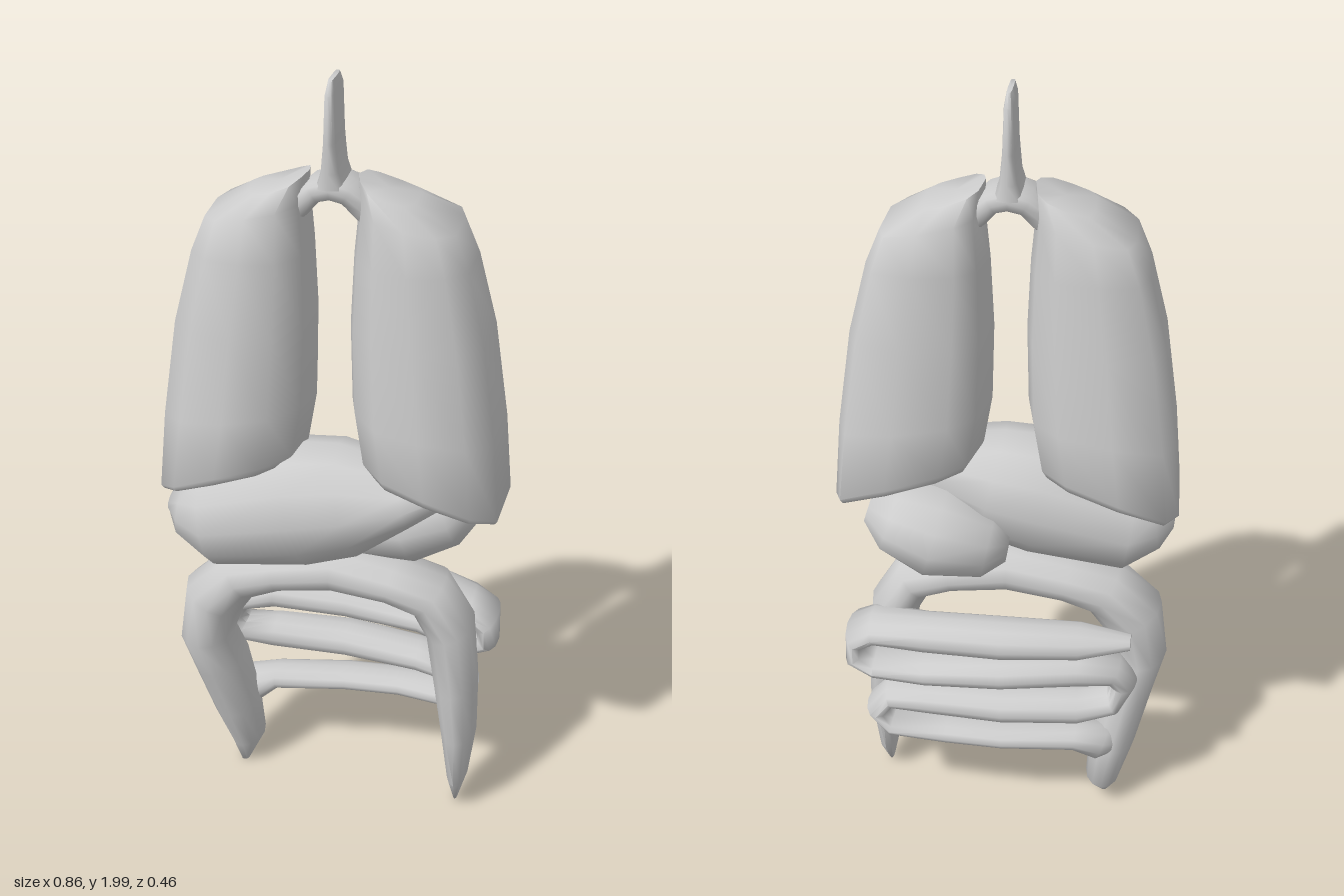
import * as THREE from 'three';
import { toCreasedNormals } from 'three/addons/utils/BufferGeometryUtils.js';

const CREASE = 1.2;

// Skin a list of equal-length rings (arrays of Vector3) and close both ends.
function loft(rings) {
  const n = rings[0].length;
  const pos = [];
  const idx = [];
  rings.forEach(r => r.forEach(p => pos.push(p.x, p.y, p.z)));
  for (let i = 0; i < rings.length - 1; i++) {
    for (let j = 0; j < n; j++) {
      const a = i * n + j, b = i * n + (j + 1) % n;
      idx.push(a, b, a + n, b, b + n, a + n);
    }
  }
  const cap = (ring, start, flip) => {
    const c = ring.reduce((s, p) => s.add(p), new THREE.Vector3()).divideScalar(n);
    const k = pos.length / 3;
    pos.push(c.x, c.y, c.z);
    for (let j = 0; j < n; j++) {
      const a = start + j, b = start + (j + 1) % n;
      if (flip) idx.push(k, b, a); else idx.push(k, a, b);
    }
  };
  cap(rings[0], 0, true);
  cap(rings[rings.length - 1], (rings.length - 1) * n, false);
  const g = new THREE.BufferGeometry();
  g.setAttribute('position', new THREE.Float32BufferAttribute(pos, 3));
  g.setIndex(idx);
  return toCreasedNormals(g, CREASE);
}

// Tube of [x, y, z, radius in the xy plane, radius in z] stations; a power below 1 squares the section.
function tube(stations, power = 1, sides = 12) {
  const bend = v => Math.sign(v) * Math.abs(v) ** power;
  return loft(stations.map(([x, y, z, rn, rz], i) => {
    const p = stations[Math.max(i - 1, 0)];
    const q = stations[Math.min(i + 1, stations.length - 1)];
    const t = new THREE.Vector2(q[0] - p[0], q[1] - p[1]).normalize();
    return Array.from({ length: sides }, (_, j) => {
      const a = (j / sides) * Math.PI * 2;
      const c = bend(Math.cos(a)) * rn;
      return new THREE.Vector3(x - t.y * c, y + t.x * c, z + bend(Math.sin(a)) * rz);
    });
  }));
}

// Lung outline seen from above: u runs inner to outer, v runs back to front.
const LUNG_OUTLINE = [[0, 0.02], [0.07, -0.62], [0.24, -0.89], [0.6, -1], [0.92, -0.88], [1, -0.45],
  [0.98, 0.5], [0.82, 0.88], [0.52, 1], [0.23, 0.89], [0.06, 0.45]];

// Lung sections: inner x, inner y, outer x, outer y, back z, front z, rise of the rim at front and back.
const LUNG_SECTIONS = [
  [0.08, 1.045, 0.425, 0.93, -0.165, 0.22, 0.035],
  [0.068, 1.065, 0.432, 0.938, -0.175, 0.23, 0.042],
  [0.045, 1.2, 0.415, 1.15, -0.16, 0.215, 0.01],
  [0.04, 1.4, 0.38, 1.4, -0.137, 0.197, 0],
  [0.048, 1.58, 0.335, 1.58, -0.112, 0.172, 0],
  [0.06, 1.71, 0.3, 1.665, -0.1, 0.16, 0],
  [0.058, 1.775, 0.2, 1.73, -0.05, 0.115, -0.012],
];

function lung(side) {
  return loft(LUNG_SECTIONS.map(([xi, yi, xo, yo, zb, zf, rise]) => {
    const ring = LUNG_OUTLINE.map(([u, v]) => new THREE.Vector3(
      side * (xi + (xo - xi) * u), yi + (yo - yi) * u + rise * v * v, (zb + zf) / 2 + v * (zf - zb) / 2));
    return side > 0 ? ring.reverse() : ring;
  }));
}

export function createModel() {
  const model = new THREE.Group();
  const tissue = new THREE.MeshStandardMaterial({ color: 0xcccccc });
  tissue.name = 'plainGrey';
  const add = (name, geometry) => {
    const mesh = new THREE.Mesh(geometry, tissue);
    mesh.name = name;
    model.add(mesh);
  };

  // Windpipe blade and the arch that joins it to both lungs
  add('windpipe', tube([
    [0, 2, 0.035, 0.006, 0.045], [0, 1.97, 0.035, 0.011, 0.068], [0, 1.86, 0.035, 0.015, 0.072],
    [0, 1.79, 0.032, 0.022, 0.073], [0, 1.75, 0.03, 0.036, 0.072]], 0.5));
  add('bronchi', tube([
    [-0.12, 1.65, 0.03, 0.022, 0.045], [-0.075, 1.7, 0.03, 0.03, 0.055], [-0.04, 1.735, 0.03, 0.026, 0.068],
    [0, 1.747, 0.03, 0.027, 0.072], [0.04, 1.735, 0.03, 0.026, 0.068], [0.075, 1.7, 0.03, 0.03, 0.055],
    [0.12, 1.65, 0.03, 0.022, 0.045]], 0.5));

  add('leftLung', lung(1));
  add('rightLung', lung(-1));

  // Liver tapers from the right towards a thin left tip
  add('liver', tube([
    [-0.42, 0.87, 0.05, 0.02, 0.05], [-0.38, 0.875, 0.055, 0.085, 0.115], [-0.31, 0.86, 0.06, 0.142, 0.145],
    [-0.08, 0.915, 0.062, 0.167, 0.16], [0.05, 0.94, 0.062, 0.15, 0.152], [0.2, 0.98, 0.08, 0.075, 0.12],
    [0.33, 1.01, 0.08, 0.02, 0.05]]));

  // Stomach sits behind the liver tip
  add('stomach', tube([
    [-0.005, 0.815, -0.05, 0.045, 0.05], [0.045, 0.822, -0.045, 0.092, 0.118], [0.18, 0.852, -0.047, 0.122, 0.15],
    [0.295, 0.888, -0.042, 0.094, 0.127], [0.352, 0.905, -0.04, 0.045, 0.06]]));

  // Large intestine arches over, its right end curling backwards
  add('largeIntestine', tube([
    [-0.27, 0.01, -0.03, 0.012, 0.02], [-0.265, 0.08, -0.05, 0.045, 0.07], [-0.287, 0.2, -0.03, 0.062, 0.085],
    [-0.32, 0.36, 0, 0.07, 0.1], [-0.35, 0.46, 0.02, 0.07, 0.1], [-0.325, 0.58, 0.02, 0.084, 0.1],
    [-0.25, 0.66, 0.02, 0.072, 0.1], [-0.15, 0.69, 0.02, 0.06, 0.1], [0, 0.715, 0.02, 0.064, 0.1],
    [0.15, 0.692, 0.02, 0.055, 0.1], [0.25, 0.66, 0.02, 0.064, 0.1], [0.305, 0.565, 0.02, 0.065, 0.1],
    [0.325, 0.4, 0.02, 0.058, 0.1], [0.337, 0.25, 0.02, 0.047, 0.095], [0.338, 0.1, 0.02, 0.027, 0.075],
    [0.335, 0.015, 0.02, 0.006, 0.02]]));

  // Small intestine zigzags behind the arch, bowing backwards mid-strand
  add('smallIntestine', tube([
    [-0.33, 0.6, -0.14, 0.015, 0.03], [-0.2, 0.6, -0.15, 0.042, 0.062], [0, 0.598, -0.16, 0.048, 0.07],
    [0.2, 0.588, -0.145, 0.045, 0.068], [0.34, 0.565, -0.1, 0.035, 0.08], [0.388, 0.535, -0.09, 0.035, 0.088],
    [0.39, 0.485, -0.09, 0.035, 0.088], [0.34, 0.455, -0.1, 0.03, 0.08], [0.2, 0.475, -0.145, 0.036, 0.068],
    [0, 0.493, -0.155, 0.042, 0.068], [-0.2, 0.505, -0.138, 0.042, 0.062], [-0.29, 0.49, -0.115, 0.035, 0.06],
    [-0.315, 0.445, -0.1, 0.035, 0.06], [-0.29, 0.395, -0.115, 0.035, 0.06], [-0.2, 0.38, -0.135, 0.044, 0.062],
    [0, 0.375, -0.145, 0.043, 0.068], [0.2, 0.365, -0.125, 0.038, 0.066], [0.3, 0.357, -0.105, 0.032, 0.075],
    [0.335, 0.31, -0.1, 0.035, 0.078], [0.3, 0.265, -0.11, 0.028, 0.07], [0.15, 0.262, -0.13, 0.028, 0.058],
    [0, 0.257, -0.13, 0.028, 0.058], [-0.19, 0.25, -0.105, 0.032, 0.055], [-0.26, 0.225, -0.085, 0.052, 0.065],
    [-0.31, 0.2, -0.05, 0.025, 0.04]]));

  return model;
}
